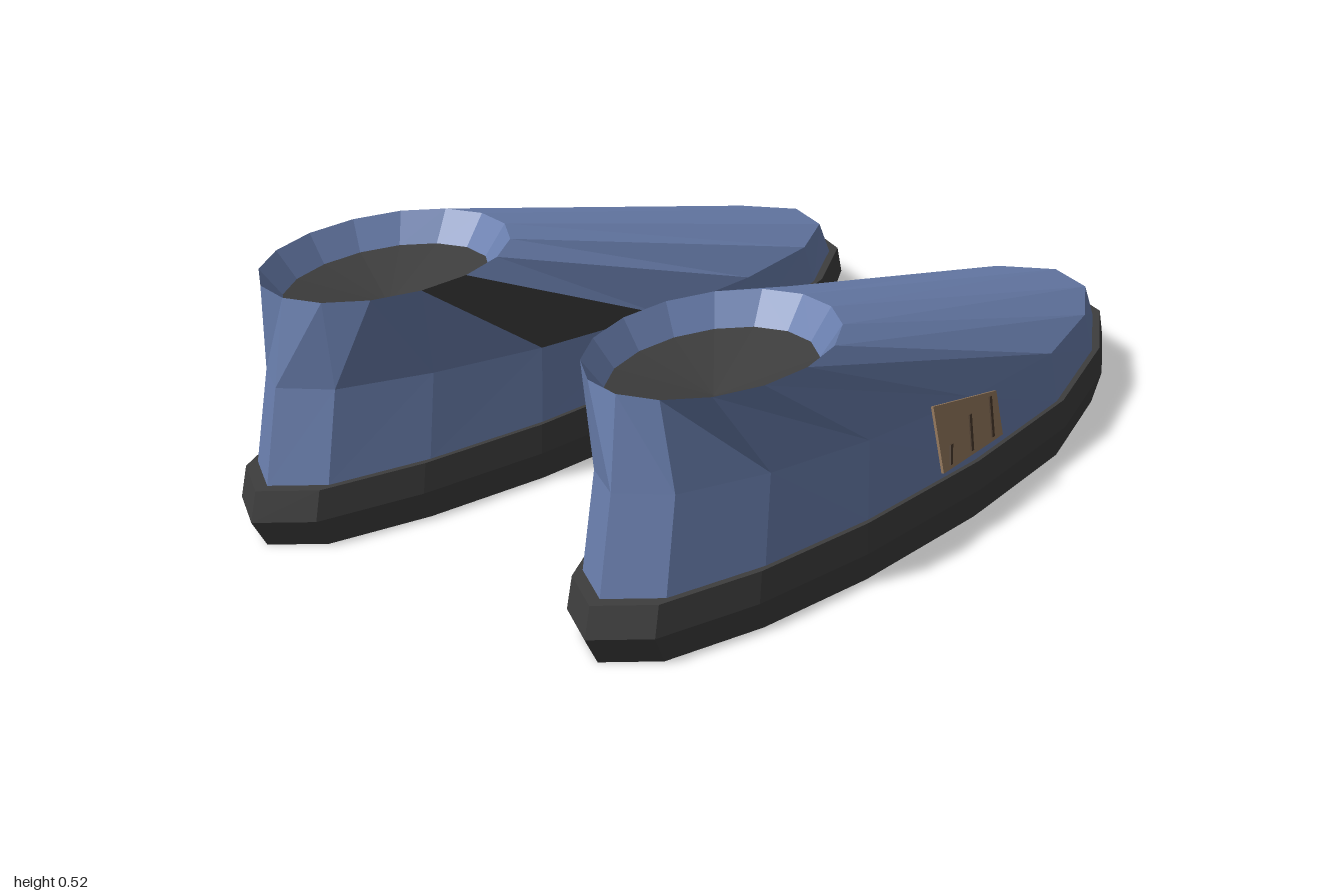
import * as THREE from 'three';

const blue = new THREE.MeshStandardMaterial({ color: 0x6a7fae });
blue.name = 'blue fabric';
const dark = new THREE.MeshStandardMaterial({ color: 0x3e3e3e });
dark.name = 'dark rubber';
const tan = new THREE.MeshStandardMaterial({ color: 0x967a5e });
tan.name = 'tan patch';
const brown = new THREE.MeshStandardMaterial({ color: 0x4a3a2c });
brown.name = 'brown stitching';
for (const m of [blue, dark, tan, brown]) m.flatShading = true;

// Plan outline of the sole (x, z): toe tip, outer side, heel, inner side
const OUTLINE = [
  [0.37, -1], [0.5, -0.92], [0.61, -0.71], [0.69, -0.39],
  [0.7, 0], [0.67, 0.39], [0.615, 0.69], [0.535, 0.92],
  [0.43, 1], [0.325, 0.92], [0.235, 0.69], [0.16, 0.39],
  [0.105, 0], [0.11, -0.39], [0.15, -0.71], [0.24, -0.92],
];
const N = OUTLINE.length;

// Ring from the outline, scaled about its middle; slope tilts it along z
const outlineRing = (s, y, slope = 0) =>
  OUTLINE.map(([x, z]) => [0.4 + (x - 0.4) * s, y + slope * z * s, z * s]);

// Oval ring around the ankle opening
const ankleRing = (rx, rz, y) => OUTLINE.map((_, i) => {
  const a = (i / N) * Math.PI * 2;
  return [0.42 + rx * Math.sin(a), y, 0.57 - rz * Math.cos(a)];
});

// Quads between successive rings, outward facing; skip(r, i) leaves a quad out
function loft(rings, skip = () => false) {
  const p = [];
  for (let r = 0; r < rings.length - 1; r++) {
    for (let i = 0; i < N; i++) {
      if (skip(r, i)) continue;
      const j = (i + 1) % N;
      const a = rings[r][i], b = rings[r][j], c = rings[r + 1][j], d = rings[r + 1][i];
      p.push(...a, ...d, ...c, ...a, ...c, ...b);
    }
  }
  return p;
}

// Fan from a centre point to a ring
function fan(ring, centre, up) {
  const p = [];
  for (let i = 0; i < N; i++) {
    const a = ring[i], b = ring[(i + 1) % N];
    p.push(...centre, ...(up ? b : a), ...(up ? a : b));
  }
  return p;
}

// Mesh from triangle corners; side -1 mirrors it in x and reverses the corners
function part(name, p, material, side) {
  const q = Array.from(p);
  if (side < 0) {
    for (let i = 0; i < q.length; i += 9) {
      for (let k = 0; k < 3; k++) [q[i + 3 + k], q[i + 6 + k]] = [q[i + 6 + k], q[i + 3 + k]];
    }
    for (let i = 0; i < q.length; i += 3) q[i] = -q[i];
  }
  const g = new THREE.BufferGeometry();
  g.setAttribute('position', new THREE.Float32BufferAttribute(q, 3));
  g.computeVertexNormals();
  const mesh = new THREE.Mesh(g, material);
  mesh.name = name;
  return mesh;
}

// Thin plate on the outer side, drawn as (-z, height) corners and leaned inwards
function plate(corners, depth, lift) {
  const shape = new THREE.Shape(corners.map(([u, v]) => new THREE.Vector2(u, v)));
  let g = new THREE.ExtrudeGeometry(shape, { depth, bevelEnabled: false });
  if (g.index) g = g.toNonIndexed();
  g.translate(0, 0, lift).rotateY(Math.PI / 2).rotateZ(0.21).translate(0.705, 0.165, 0);
  return g.attributes.position.array;
}

function shoe(side) {
  const group = new THREE.Group();
  group.name = side > 0 ? 'leftShoe' : 'rightShoe';

  // Sole: closed slab, widest at half height
  const sole = [outlineRing(0.96, 0), outlineRing(1, 0.065), outlineRing(0.983, 0.13)];
  group.add(part('sole', [
    ...loft(sole),
    ...fan(sole[0], [0.4, 0, 0], false),
    ...fan(sole[2], [0.4, 0.13, 0], true),
  ], dark, side));

  // Upper: side wall, sloping vamp up to the collar, then down inside
  const mid = outlineRing(0.91, 0.27, 0.07);
  const collar = ankleRing(0.218, 0.312, 0.523);
  const inner = ankleRing(0.18, 0.258, 0.46);
  const isPanel = (r, i) => side < 0 && r === 1 && i === 11;
  const rings = [outlineRing(0.95, 0.13), mid, collar, inner];
  group.add(part('upper', loft(rings, isPanel), blue, side));
  group.add(part('insole', fan(inner, [0.42, 0.41, 0.57], true), dark, side));

  // One dark panel on the inner side of the right shoe
  if (side < 0) {
    group.add(part('innerPanel', loft(rings, (r, i) => !isPanel(r, i)), dark, side));
  }

  // Patch with three slanted stitches
  const patch = [[-0.17, 0.003], [0.07, 0.003], [0.07, 0.1], [-0.17, 0.147]];
  group.add(part('patch', plate(patch, 0.006, 0), tan, side));
  for (const [u, h] of [[-0.145, 0.04], [-0.06, 0.075], [0.025, 0.085]]) {
    const stitch = [[u, 0.012], [u + 0.009, 0.012], [u + 0.021, 0.012 + h], [u + 0.012, 0.012 + h]];
    group.add(part('stitch', plate(stitch, 0.003, 0.006), brown, side));
  }
  return group;
}

export function createModel() {
  const model = new THREE.Group();
  model.name = 'pairOfShoes';
  model.add(shoe(1), shoe(-1));
  return model;
}
